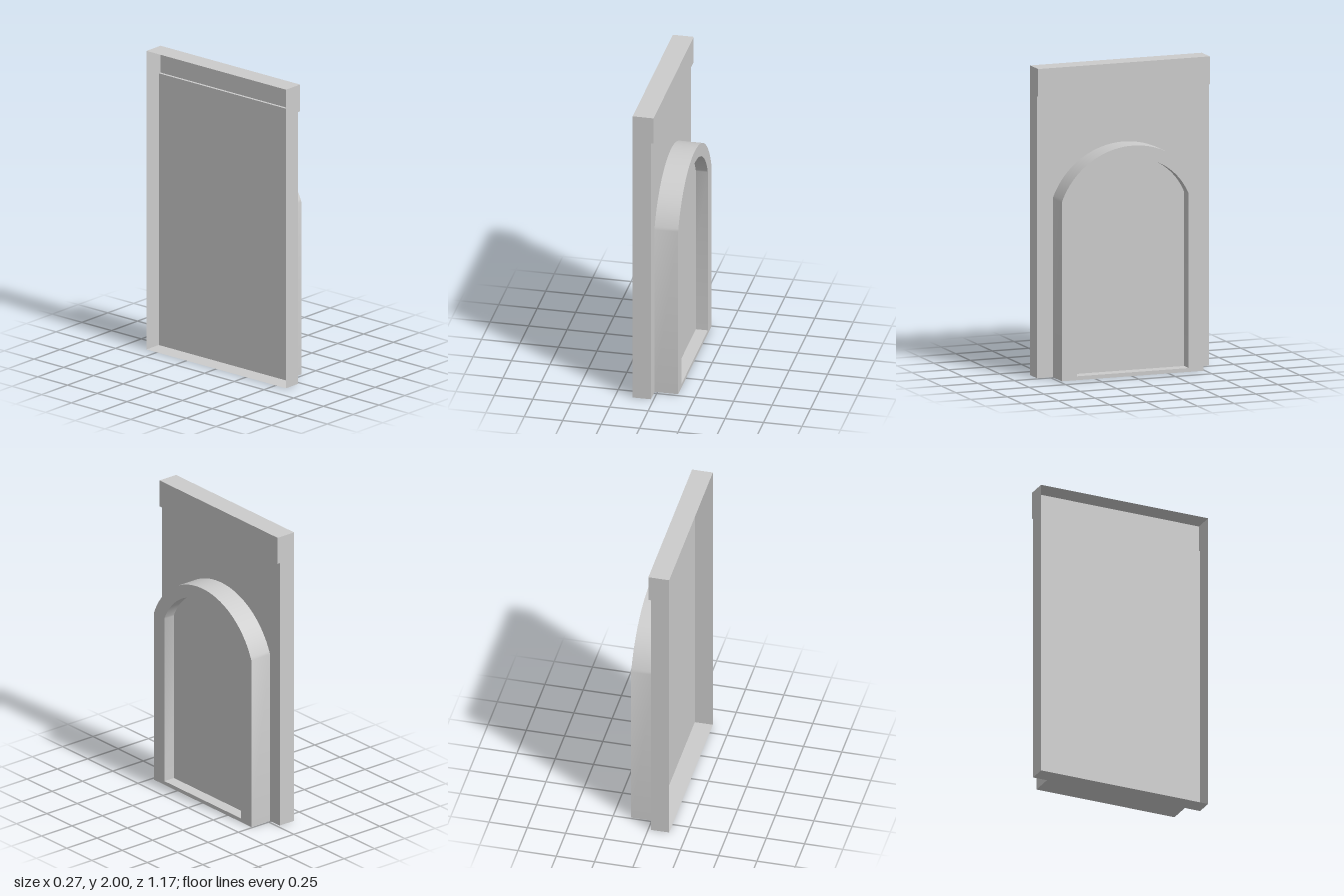
import * as THREE from 'three';
import { toCreasedNormals } from 'three/addons/utils/BufferGeometryUtils.js';

const BACK = -0.137, WALL = -0.019, FRIEZE = -0.001, FRONT = 0.135, NICHE = 0.057;
const HALF = 0.587;

// Round-headed outline: straight jambs up to the spring line, then a circular arc
function archOutline(Target, centre, half, base, spring, top) {
  const rise = top - spring;
  const radius = (half * half + rise * rise) / (2 * rise);
  const drop = radius - rise;
  const start = Math.atan2(drop, half);
  const path = new Target();
  path.moveTo(centre - half, base);
  path.lineTo(centre + half, base);
  path.lineTo(centre + half, spring);
  path.absarc(centre, spring - drop, radius, start, Math.PI - start, false);
  path.lineTo(centre - half, base);
  return path;
}

// Sweep an open x-y profile along the width as flat strips
function sweepProfile(points, half) {
  const pos = [];
  for (let i = 0; i + 1 < points.length; i++) {
    const [a, b] = points[i], [c, d] = points[i + 1];
    pos.push(a, b, half, a, b, -half, c, d, -half);
    pos.push(a, b, half, c, d, -half, c, d, half);
  }
  const geo = new THREE.BufferGeometry();
  geo.setAttribute('position', new THREE.Float32BufferAttribute(pos, 3));
  geo.computeVertexNormals();
  return geo;
}

export function createModel() {
  const group = new THREE.Group();
  const stone = new THREE.MeshStandardMaterial({ color: 0xcccccc, side: THREE.DoubleSide });
  stone.name = 'grey stone';
  const add = (name, geo) => {
    const mesh = new THREE.Mesh(geo, stone);
    mesh.name = name;
    group.add(mesh);
    return mesh;
  };

  // Wall slab with projecting frieze, hollow and open at the back
  const profile = [
    [BACK, 0], [WALL, 0], [WALL, 1.82], [FRIEZE, 1.82], [FRIEZE, 2], [BACK, 2],
  ];
  add('wallAndFrieze', sweepProfile(profile, HALF));

  // End faces of the slab
  const endShape = new THREE.Shape(profile.map(([x, y]) => new THREE.Vector2(x, y)));
  add('leftEnd', new THREE.ShapeGeometry(endShape).translate(0, 0, HALF));
  add('rightEnd', new THREE.ShapeGeometry(endShape).rotateY(Math.PI).scale(-1, 1, 1)
    .translate(0, 0, -HALF)).geometry.computeVertexNormals();
  const end = group.getObjectByName('rightEnd').geometry;
  end.setIndex([...end.index.array].reverse());
  end.computeVertexNormals();

  // Raised arched surround with a niche opening and a low sill
  const surround = archOutline(THREE.Shape, 0.005, 0.485, 0, 1.155, 1.488);
  surround.holes.push(archOutline(THREE.Path, 0.006, 0.382, 0.025, 1.15, 1.405));
  const surroundGeo = new THREE.ExtrudeGeometry(surround, {
    depth: FRONT - WALL, bevelEnabled: false, curveSegments: 32,
  });
  surroundGeo.rotateY(Math.PI / 2).translate(WALL, 0, 0);
  add('archSurround', toCreasedNormals(surroundGeo, 0.5));

  // Recessed panel inside the arch
  const panel = archOutline(THREE.Shape, 0.006, 0.382, 0.025, 1.15, 1.405);
  add('nichePanel', new THREE.ShapeGeometry(panel, 32).rotateY(Math.PI / 2).translate(NICHE, 0, 0));

  return group;
}
